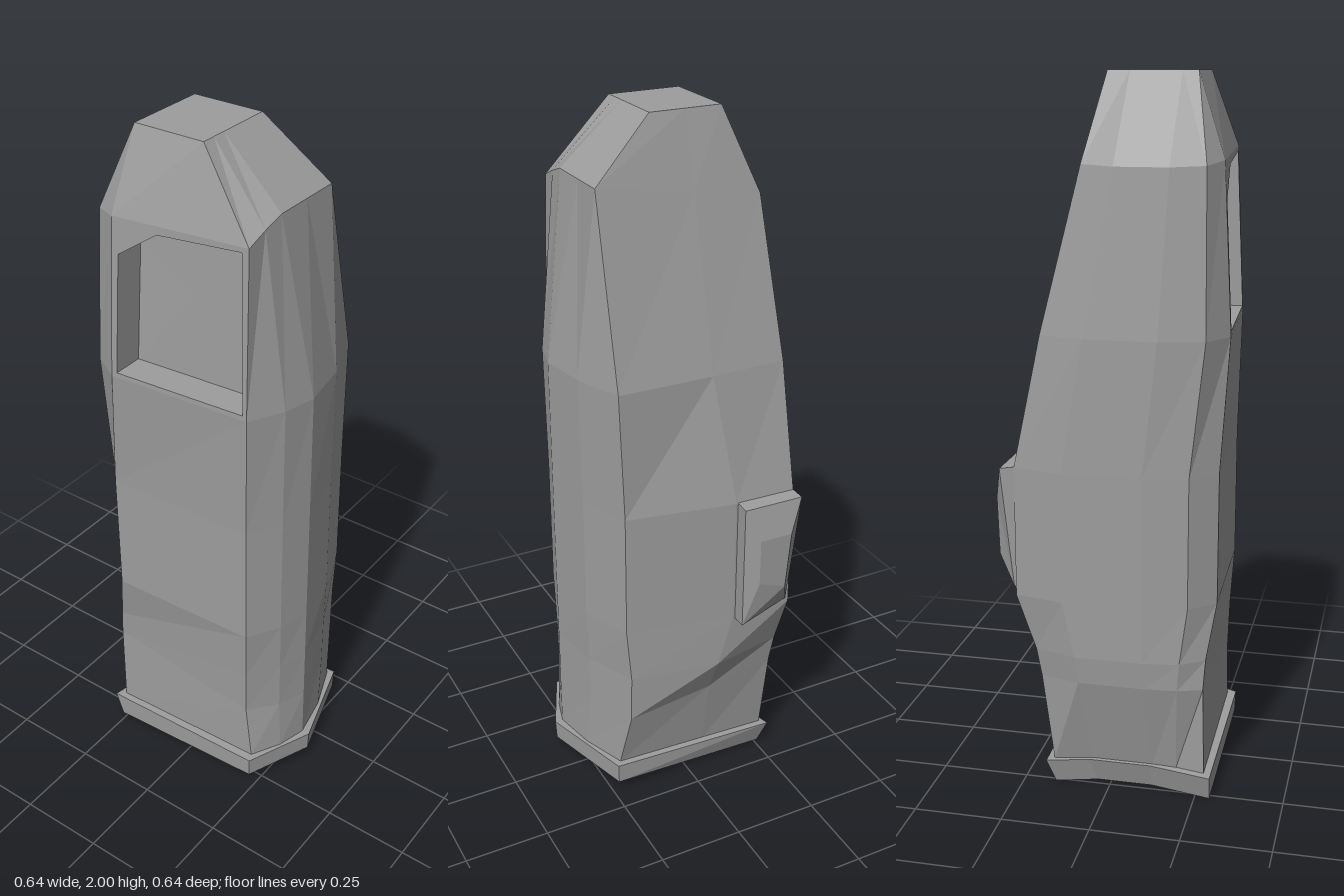
import * as THREE from 'three';

const V = (x, y, z) => new THREE.Vector3(x, y, z);
const material = new THREE.MeshStandardMaterial({ color: 0x9d9d9d, flatShading: true });

// Skin a series of closed rings; caps are fans, skip(band, side) leaves a quad open
function loft(name, rings, { start = false, end = false, skip = () => false } = {}) {
  const pos = [];
  const tri = (...pts) => pts.forEach((p) => pos.push(p.x, p.y, p.z));
  for (let b = 0; b < rings.length - 1; b++) {
    const lo = rings[b], up = rings[b + 1], n = lo.length;
    for (let i = 0; i < n; i++) {
      if (skip(b, i)) continue;
      const j = (i + 1) % n;
      tri(lo[i], lo[j], up[j]);
      tri(lo[i], up[j], up[i]);
    }
  }
  const cap = (ring, flip) => {
    const c = ring.reduce((s, p) => s.add(p), V(0, 0, 0)).divideScalar(ring.length);
    ring.forEach((p, i) => {
      const q = ring[(i + 1) % ring.length];
      flip ? tri(c, q, p) : tri(c, p, q);
    });
  };
  if (start) cap(rings[0], true);
  if (end) cap(rings[rings.length - 1], false);
  const g = new THREE.BufferGeometry();
  g.setAttribute('position', new THREE.Float32BufferAttribute(pos, 3));
  g.computeVertexNormals();
  const mesh = new THREE.Mesh(g, material);
  mesh.name = name;
  return mesh;
}

// Body section from x, z corners: front left, ridge, front right, side, back right, back left.
// The height leans with z, the front is rounded beside the ridge, the back bows out to backZ.
function section(y, lean, round, backZ, corners) {
  const [fl, ridge, fr, side, br, bl] = corners.map(([x, z]) => V(x, 0, z));
  const front = (a, b) => a.clone().lerp(b, 0.5).add(V(0, 0, round));
  const back = (t) => V(br.x + (bl.x - br.x) * t, 0, backZ);
  const bulge = bl.z - backZ;
  const chamfer = back(0.65).lerp(bl, 0.5).add(V(-0.3 * bulge, 0, -0.25 * bulge));
  const ring = [fl, front(fl, ridge), ridge, front(ridge, fr), fr, side, br, back(0.25), back(0.65), chamfer, bl];
  ring.forEach((p) => { p.y = y + lean * p.z; });
  return ring;
}

export function createModel() {
  const model = new THREE.Group();

  // Main body, from the base to the flat top
  const base = section(0.085, 0.04, 0.012, -0.243, [[-0.27, 0.225], [-0.1, 0.298], [0.16, 0.22], [0.16, -0.06], [0.16, -0.265], [-0.275, -0.265]]);
  const waist = section(0.3, -0.13, 0.015, -0.31, [[-0.27, 0.205], [-0.1, 0.298], [0.2, 0.2], [0.2, -0.06], [0.192, -0.272], [-0.27, -0.268]]);
  const swell = section(0.42, 0, 0.015, -0.318, [[-0.275, 0.208], [-0.1, 0.298], [0.205, 0.2], [0.25, -0.06], [0.205, -0.28], [-0.275, -0.26]]);
  const belly = section(0.95, 0, 0.015, -0.318, [[-0.285, 0.215], [-0.1, 0.298], [0.2, 0.212], [0.256, -0.105], [0.258, -0.288], [-0.3, -0.23]]);
  const lowBelly = belly.map((p) => V(p.x, 0.58, p.z));
  const chest = section(1.32, 0, 0.015, -0.316, [[-0.293, 0.222], [-0.1, 0.298], [0.19, 0.222], [0.19, -0.06], [0.18, -0.285], [-0.32, -0.2]]);
  const shoulder = section(1.805, 0.15, 0, -0.284, [[-0.272, 0.214], [-0.15, 0.222], [0.07, 0.222], [0.072, -0.06], [0.07, -0.26], [-0.295, -0.19]]);
  shoulder[0].y -= 0.045;
  shoulder[1].y -= 0.02;
  const top = section(2, 0, 0, -0.165, [[-0.22, 0.045], [-0.14, 0.045], [0.02, 0.045], [0.02, -0.06], [0.02, -0.165], [-0.22, -0.165]]);
  const body = [base, waist, swell, lowBelly, belly, chest, shoulder, top];
  const last = base.length - 1;
  model.add(loft('body', body, { end: true, skip: (b, i) => body[b] === chest && i === last }));

  // Recessed window filling the open side panel
  const panel = ([u, v]) => chest[last].clone().lerp(chest[0], u)
    .lerp(shoulder[last].clone().lerp(shoulder[0], u), v);
  const rim = [[0, 0], [1, 0], [1, 1], [0.4, 1], [0, 1]].map(panel);
  const opening = [[0.04, 0.03], [0.97, 0.03], [0.95, 0.97], [0.34, 0.95], [0.05, 0.78]].map(panel);
  const recess = opening.map((p) => V(p.x + 0.09, p.y, p.z));
  model.add(loft('sideWindow', [rim, opening, recess], { end: true }));

  // Base collar with a funnel-shaped hollow underside
  const outline = [[-0.295, 0.235], [-0.1, 0.322], [0.18, 0.235], [0.18, -0.285], [0.06, -0.255], [-0.12, -0.255], [-0.295, -0.29]];
  const collarRing = (scale, y, lean, taper = 0) => outline.map(([x, z]) => {
    const px = -0.06 + (x + 0.06) * scale - (x > 0 && z < 0 ? taper : 0);
    const pz = z * scale + (z < 0 ? taper : 0);
    return V(px, y + lean * pz, pz);
  });
  model.add(loft('baseCollar', [
    collarRing(0.72, 0.085, 0.04),
    collarRing(0.93, 0.019, 0.065, 0.02),
    collarRing(0.99, 0.019, 0.065, 0.02),
    collarRing(1, 0.087, 0.04),
    collarRing(0.85, 0.089, 0.04),
  ], { start: true }));

  // Side button: corners run front low, back low, back high, front high;
  // its lower back corner sinks into the body
  model.add(loft('sideButton', [
    [V(0.22, 0.57, -0.11), V(0.22, 0.59, -0.27), V(0.22, 0.957, -0.285), V(0.22, 0.957, -0.11)],
    [V(0.298, 0.57, -0.11), V(0.268, 0.6, -0.272), V(0.298, 0.947, -0.292), V(0.298, 0.947, -0.11)],
    [V(0.32, 0.71, -0.15), V(0.32, 0.68, -0.235), V(0.32, 0.85, -0.25), V(0.32, 0.85, -0.15)],
  ], { end: true }));

  return model;
}
